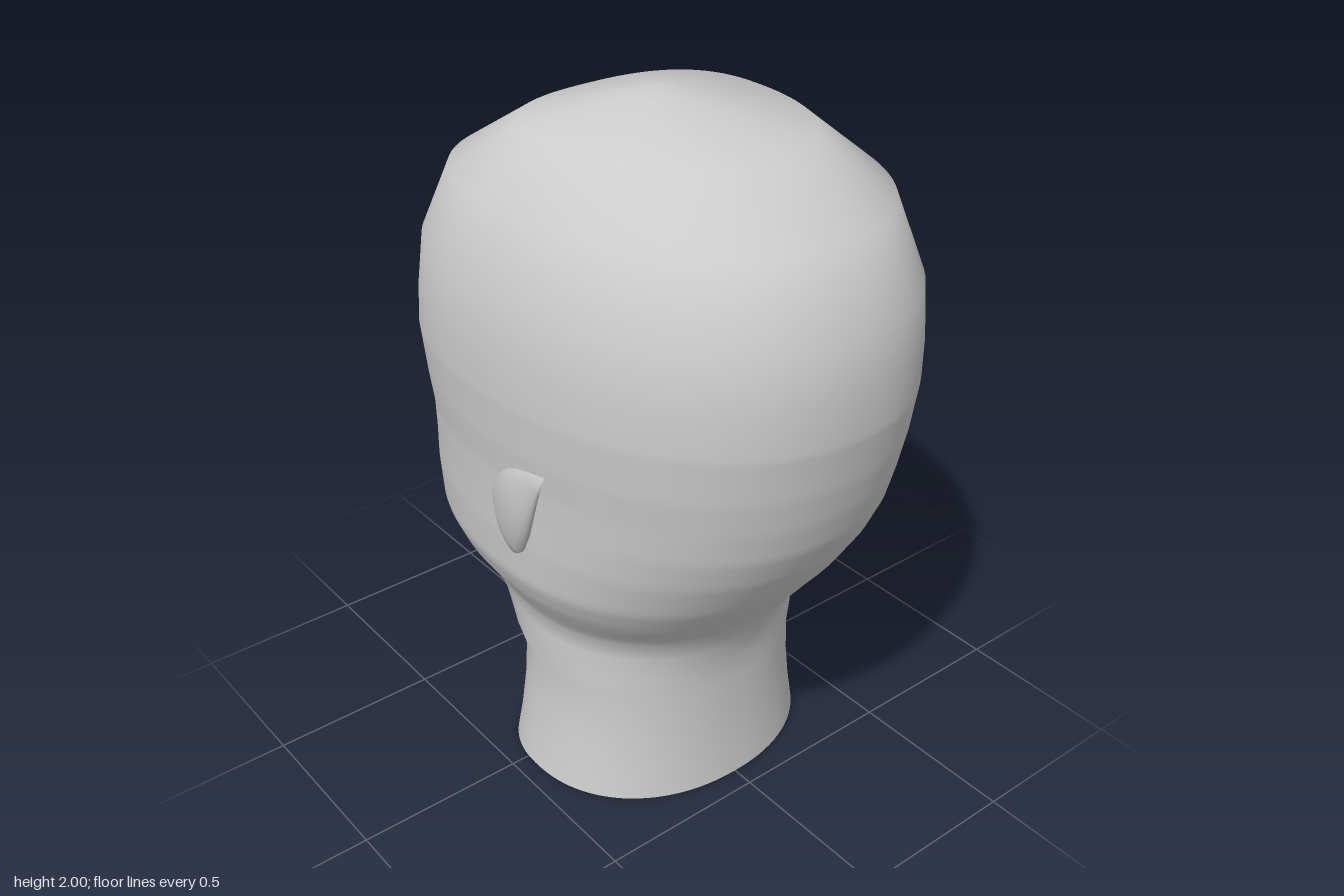
import * as THREE from 'three';
import { mergeVertices } from 'three/addons/utils/BufferGeometryUtils.js';

const clay = new THREE.MeshStandardMaterial({ color: 0xcccccc, side: THREE.DoubleSide });
clay.name = 'grey clay';

// Skin a list of closed rings (arrays of [x, y, z]) with smooth normals
function skin(rings, flip = false) {
  const n = rings[0].length, index = [];
  for (let i = 0; i < rings.length - 1; i++) {
    for (let j = 0; j < n; j++) {
      const a = i * n + j, b = i * n + (j + 1) % n, c = a + n, d = b + n;
      if (flip) index.push(a, b, c, b, d, c);
      else index.push(a, c, b, b, c, d);
    }
  }
  let g = new THREE.BufferGeometry();
  g.setAttribute('position', new THREE.Float32BufferAttribute(rings.flat(2), 3));
  g.setIndex(index);
  g = mergeVertices(g, 1e-5);
  g.computeVertexNormals();
  return g;
}

function part(name, geometry) {
  const mesh = new THREE.Mesh(geometry, clay);
  mesh.name = name;
  return mesh;
}

// Linear lookup in a table whose rows start with y; returns the other columns
function lookup(table, y) {
  if (y <= table[0][0]) return table[0].slice(1);
  for (let i = 1; i < table.length; i++) {
    const a = table[i - 1], b = table[i];
    if (y <= b[0]) {
      const t = (y - a[0]) / (b[0] - a[0]);
      return a.slice(1).map((v, k) => v + (b[k + 1] - v) * t);
    }
  }
  return table[table.length - 1].slice(1);
}

const CENTRE = 0.05;
// y, half width, back z, face z, face roundness exponent
const HEAD = [
  [0, 0.445, 0.435, -0.26, 2.4], [0.1, 0.428, 0.425, -0.245, 2.4],
  [0.22, 0.412, 0.42, -0.235, 2.4], [0.35, 0.405, 0.42, -0.24, 2.3],
  [0.42, 0.42, 0.425, -0.34, 2.1], [0.49, 0.412, 0.44, -0.49, 1.95],
  [0.555, 0.422, 0.47, -0.615, 1.95], [0.62, 0.46, 0.51, -0.605, 2.1],
  [0.7, 0.51, 0.57, -0.62, 2.2], [0.77, 0.54, 0.625, -0.625, 2.25],
  [0.9, 0.55, 0.71, -0.615, 2.3], [1, 0.553, 0.76, -0.605, 2.3],
  [1.1, 0.558, 0.79, -0.6, 2.3], [1.2, 0.57, 0.812, -0.6, 2.35],
  [1.34, 0.58, 0.833, -0.61, 2.4], [1.45, 0.58, 0.833, -0.59, 2.4],
  [1.6, 0.568, 0.82, -0.56, 2.4], [1.8, 0.5, 0.73, -0.45, 2.5],
  [1.93, 0.35, 0.5, -0.24, 2.6], [1.985, 0.08, 0.14, -0.03, 2.2],
  [2, 0, CENTRE, CENTRE, 2],
];
// y, nose projection, nose half width
const NOSE = [
  [0.7, 0, 0.08], [0.77, 0.02, 0.1], [0.835, 0.08, 0.12], [0.9, 0.22, 0.13],
  [1.04, 0.125, 0.11], [1.1, 0.045, 0.09], [1.18, 0, 0.07],
];

function headGeometry() {
  const around = 144;
  // coarse rows on the neck and skull, fine rows over the face
  const rows = HEAD.map(r => r[0]).filter(y => y < 0.6 || y > 1.35);
  for (let y = 0.6; y < 1.35; y += 0.02) rows.push(y);
  rows.sort((a, b) => a - b);
  return skin(rows.map(y => {
    const [w, back, face, p] = lookup(HEAD, y);
    const [nose, noseWidth] = lookup(NOSE, y);
    const ring = [];
    for (let j = 0; j < around; j++) {
      const t = j / around * Math.PI * 2, a = t - 0.5 * Math.sin(t);
      const s = Math.sin(a), c = Math.cos(a), e = c > 0 ? 2 / p : 2 / Math.min(p, 2.15);
      const x = w * Math.sign(s) * Math.abs(s) ** e;
      let z = CENTRE + (c > 0 ? face - CENTRE : CENTRE - back) * Math.sign(c) * Math.abs(c) ** e;
      if (c > 0) {
        z -= nose * Math.max(0, 1 - Math.abs(x) / noseWidth);
        // eye sockets
        z += 0.06 * Math.exp(-(((Math.abs(x) - 0.18) / 0.09) ** 2) - ((y - 1.12) / 0.06) ** 2);
      }
      ring.push([x, y, z]);
    }
    return ring;
  }));
}

// Ring of an ellipse with centre c and half axes u, v, mirrored by side
function ellipse(c, u, v, side, n = 20) {
  return Array.from({ length: n }, (_, j) => {
    const a = j / n * Math.PI * 2;
    const q = c.map((k, i) => k + u[i] * Math.cos(a) + v[i] * Math.sin(a));
    return [q[0] * side, q[1], q[2]];
  });
}

// Pointed leaf-shaped ear, swept from the lobe to the tip
function earGeometry(side) {
  // distance along the ear, rear edge, front edge, x, half thickness
  const stations = [
    [-0.005, 0.02, 0.02, 0.545, 0], [0, 0, 0.07, 0.55, 0.012], [0.03, -0.037, 0.11, 0.565, 0.022],
    [0.1, -0.056, 0.135, 0.583, 0.032], [0.19, -0.052, 0.138, 0.6, 0.034],
    [0.26, -0.04, 0.118, 0.611, 0.028], [0.32, -0.028, 0.088, 0.62, 0.02],
    [0.38, -0.015, 0.05, 0.628, 0.012], [0.454, 0, 0, 0.636, 0],
  ];
  return skin(stations.map(([s, rear, front, x, thick]) => {
    const mid = (rear + front) / 2, h = (front - rear) / 2;
    return ellipse(
      [x, 0.905 + 0.804 * s + 0.595 * mid, 0.15 + 0.595 * s - 0.804 * mid],
      [-0.15 * h, 0.595 * h, -0.804 * h], [thick, 0, 0], side);
  }), side < 0);
}

// Arched eyebrow, blunt at the nose and tapered outwards
function browGeometry(side) {
  const path = new THREE.CatmullRomCurve3([
    [0.09, 1.25, -0.645], [0.15, 1.285, -0.655], [0.22, 1.295, -0.65],
    [0.29, 1.26, -0.625], [0.335, 1.2, -0.58],
  ].map(p => new THREE.Vector3(...p)));
  const rings = [];
  for (let i = 0; i <= 16; i++) {
    const t = i / 16, p = path.getPoint(t), d = path.getTangent(t);
    const h = i === 0 || i === 16 ? 0 : 0.028 * (1 - 0.75 * t);
    rings.push(ellipse(p.toArray(), [-d.y * h, d.x * h, 0], [0, 0, -1.1 * h], side, 12));
  }
  return skin(rings, side > 0);
}

export function createModel() {
  const model = new THREE.Group();
  model.name = 'head bust';
  model.add(part('head', headGeometry()));
  for (const [name, side] of [['left', 1], ['right', -1]]) {
    model.add(part(name + 'Ear', earGeometry(side)));
    model.add(part(name + 'Eyebrow', browGeometry(side)));
  }
  return model;
}
